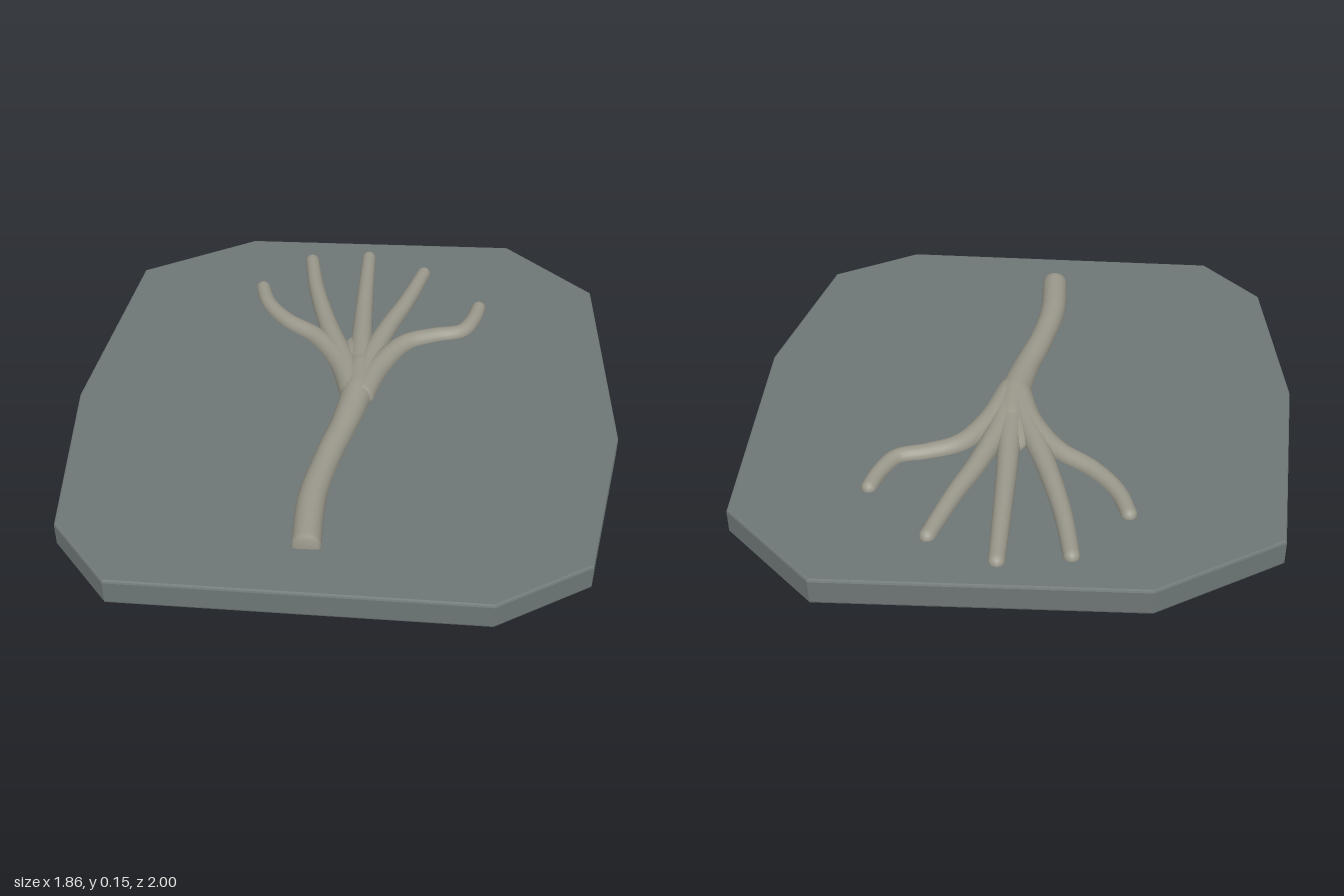
import * as THREE from 'three';

const SLAB_TOP = 0.092;

// Tapered round limb along a flat path of [x, z] points; radii are spread evenly along it.
function limb(name, path, radii, roundStart, material) {
  const curve = new THREE.CatmullRomCurve3(path.map(([x, z]) => new THREE.Vector3(x, SLAB_TOP, z)));
  const length = curve.getLength(), sides = 20, steps = 48;
  const radiusAt = (t) => {
    const f = t * (radii.length - 1), i = Math.min(Math.floor(f), radii.length - 2);
    return THREE.MathUtils.lerp(radii[i], radii[i + 1], f - i);
  };
  const rings = [];
  // Start cap: nearly flat with a small softened edge
  rings.push([0, 0], [0, radiusAt(0) - roundStart]);
  for (let i = 0; i <= steps; i++) {
    const t = (roundStart + (length - roundStart - radiusAt(1)) * i / steps) / length;
    rings.push([t, radiusAt(t)]);
  }
  // Hemispherical tip
  const tip = radiusAt(1);
  for (let k = 1; k <= 6; k++) {
    const a = k / 6 * Math.PI / 2;
    rings.push([1 - tip * (1 - Math.sin(a)) / length, tip * Math.cos(a)]);
  }
  const pos = [], index = [], up = new THREE.Vector3(0, 1, 0);
  rings.forEach(([t, r], i) => {
    const c = curve.getPointAt(Math.min(t, 1));
    const side = up.clone().cross(curve.getTangentAt(Math.min(t, 1))).normalize();
    for (let j = 0; j < sides; j++) {
      const a = j / sides * Math.PI * 2, s = Math.cos(a) * r;
      pos.push(c.x + side.x * s, c.y + Math.sin(a) * r, c.z + side.z * s);
      if (i === rings.length - 1) continue;
      const p = i * sides + j, q = i * sides + (j + 1) % sides;
      index.push(p, q, p + sides, q, q + sides, p + sides);
    }
  });
  const geometry = new THREE.BufferGeometry();
  geometry.setAttribute('position', new THREE.Float32BufferAttribute(pos, 3));
  geometry.setIndex(index);
  geometry.computeVertexNormals();
  const mesh = new THREE.Mesh(geometry, material);
  mesh.name = name;
  return mesh;
}

export function createModel() {
  const group = new THREE.Group();
  group.name = 'branchRelief';
  const slabMaterial = new THREE.MeshStandardMaterial({ color: 0x6e7676 });
  const limbMaterial = new THREE.MeshStandardMaterial({ color: 0x9b998c });

  // Irregular ten-sided slab with a fine bevel, outline as [x, z]
  const outline = [
    [-0.67, 0.97], [0.5, 0.995], [0.8, 0.81], [0.925, 0.19], [0.893, -0.69],
    [0.58, -1], [-0.44, -0.988], [-0.845, -0.74], [-0.93, 0.07], [-0.87, 0.73],
  ];
  const bevel = 0.008;
  const slabGeometry = new THREE.ExtrudeGeometry(
    new THREE.Shape(outline.map(([x, z]) => new THREE.Vector2(x, -z))),
    { depth: SLAB_TOP - 2 * bevel, bevelThickness: bevel, bevelSize: bevel, bevelOffset: -bevel, bevelSegments: 2 },
  );
  slabGeometry.rotateX(-Math.PI / 2).translate(0, bevel, 0);
  const slab = new THREE.Mesh(slabGeometry, slabMaterial);
  slab.name = 'slab';
  group.add(slab);

  // Stem, half sunk in the slab
  group.add(limb('stem',
    [[-0.075, 0.793], [-0.075, 0.56], [-0.04, 0.35], [0.008, 0.15], [0.035, -0.02], [0.037, -0.2]],
    [0.047, 0.047, 0.044, 0.046, 0.055, 0.045], 0.008, limbMaterial));

  // Five branches fanning out of the stem
  const branches = [
    [[0.03, 0.03], [-0.035, -0.17], [-0.13, -0.32], [-0.25, -0.42], [-0.33, -0.53], [-0.373, -0.665]],
    [[0.033, 0.03], [-0.02, -0.17], [-0.095, -0.4], [-0.16, -0.65], [-0.197, -0.872]],
    [[0.036, 0.03], [0.034, -0.2], [0.03, -0.5], [0.03, -0.908]],
    [[0.038, 0.03], [0.07, -0.2], [0.125, -0.4], [0.19, -0.58], [0.257, -0.805]],
    [[0.042, 0.03], [0.11, -0.17], [0.195, -0.305], [0.3, -0.358], [0.395, -0.39], [0.438, -0.465], [0.469, -0.578]],
  ];
  branches.forEach((path, i) => group.add(
    limb(`branch${i + 1}`, path, [0.05, 0.042, 0.035, 0.03, 0.026], 0.008, limbMaterial)));

  // Low swelling that fills the forks between the branches
  const fork = new THREE.Mesh(new THREE.SphereGeometry(1, 32, 16), limbMaterial);
  fork.name = 'fork';
  fork.scale.set(0.085, 0.035, 0.17);
  fork.position.set(0.035, SLAB_TOP, -0.18);
  group.add(fork);

  return group;
}
